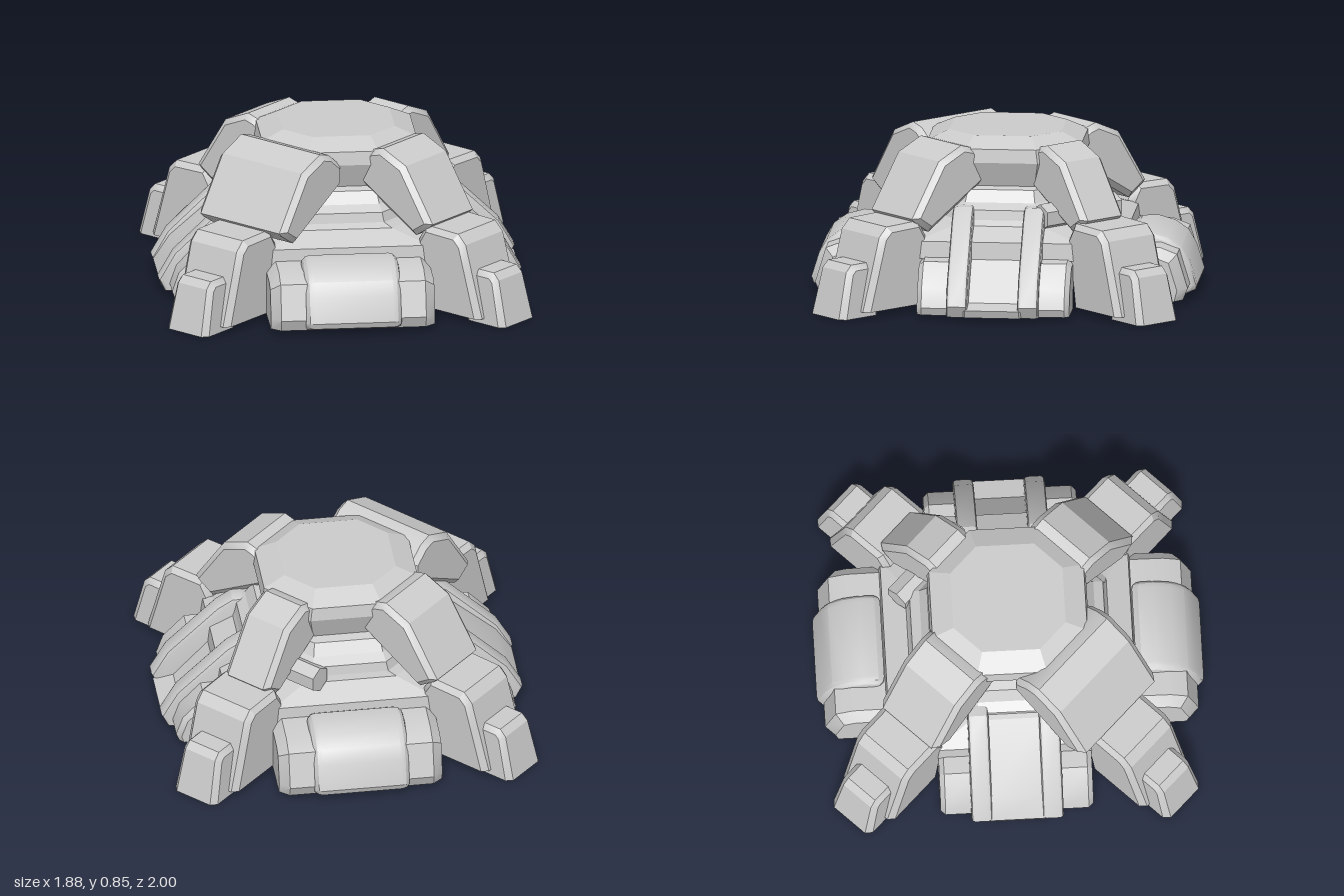
import * as THREE from 'three';
import { toCreasedNormals } from 'three/addons/utils/BufferGeometryUtils.js';

const grey = new THREE.MeshStandardMaterial({ color: 0xcccccc, side: THREE.DoubleSide });
const faceted = new THREE.MeshStandardMaterial({ color: 0xcccccc, flatShading: true, side: THREE.DoubleSide });

// Bevelled block: a side profile [outward, y] given width, cut off open at the floor.
// It can narrow upwards, and be left open on the side joined to the body.
function block(name, profile, halfWidth, bevel, { taper = 0, segments = 1, floor = 0.02, openBack = false } = {}) {
  const shape = new THREE.Shape(profile.map(([r, y]) => new THREE.Vector2(r, y)));
  const depth = 2 * (halfWidth - bevel);
  const geo = new THREE.ExtrudeGeometry(shape, {
    depth, bevelThickness: bevel, bevelSize: bevel, bevelOffset: -bevel, bevelSegments: segments,
  });
  geo.translate(0, 0, -depth / 2);
  const back = openBack ? Math.min(...profile.map(([r]) => r)) + 0.001 : -Infinity;
  const p = geo.attributes.position;
  const kept = [];
  for (let i = 0; i < p.count; i += 3) {
    if (Math.max(p.getY(i), p.getY(i + 1), p.getY(i + 2)) <= floor) continue;
    if (Math.max(p.getX(i), p.getX(i + 1), p.getX(i + 2)) <= back) continue;
    for (let j = i; j < i + 3; j++) {
      const y = Math.max(p.getY(j), floor);
      kept.push(p.getX(j), y, p.getZ(j) * (1 - taper * y));
    }
  }
  const open = new THREE.BufferGeometry();
  open.setAttribute('position', new THREE.Float32BufferAttribute(kept, 3));
  const mesh = new THREE.Mesh(toCreasedNormals(open, 0.5), grey);
  mesh.name = name;
  return mesh;
}

// Eight-sided shell through rings [half size, half length of the straight side, y]
function octagonShell(name, rings) {
  const pos = [], index = [];
  for (const [a, b, y] of rings) {
    for (const [x, z] of [[a, -b], [a, b], [b, a], [-b, a], [-a, b], [-a, -b], [-b, -a], [b, -a]]) pos.push(x, y, z);
  }
  for (let i = 0; i < rings.length - 1; i++) {
    for (let k = 0; k < 8; k++) {
      const n = (k + 1) % 8, u = i * 8, l = u + 8;
      if (rings[i][0] > 0) index.push(u + k, u + n, l + k);
      index.push(u + n, l + n, l + k);
    }
  }
  const geo = new THREE.BufferGeometry();
  geo.setAttribute('position', new THREE.Float32BufferAttribute(pos, 3));
  geo.setIndex(index);
  geo.computeVertexNormals();
  const mesh = new THREE.Mesh(geo, faceted);
  mesh.name = name;
  return mesh;
}

// Diagonal leg: shoulder armour, shin and foot
function leg(name, shoulderHalfWidth) {
  const g = new THREE.Group();
  g.name = name;
  g.add(
    block('shoulder', [[0.29, 0.63], [0.29, 0.73], [0.38, 0.805], [0.45, 0.825], [0.6, 0.76], [0.78, 0.48], [0.76, 0.46], [0.67, 0.4]],
      shoulderHalfWidth, 0.028),
    block('shin', [[0.735, -0.05], [0.68, 0.38], [0.73, 0.465], [0.94, 0.46], [0.99, 0.41], [1.03, 0.27], [1.1, -0.05]],
      0.178, 0.028, { floor: 0.03 }),
    block('foot', [[0.97, -0.05], [0.97, 0.25], [1.0, 0.275], [1.13, 0.275], [1.165, 0.24], [1.225, -0.05]],
      0.135, 0.028, { taper: 0.5, floor: 0, openBack: true }),
  );
  return g;
}

// Rounded drum housing with a stepped block on either side
function drumHousing(name) {
  const g = new THREE.Group();
  g.name = name;
  g.add(
    block('drum', [[0.65, -0.05], [0.65, 0.32], [0.68, 0.34], [0.76, 0.345], [0.85, 0.32], [0.92, 0.27], [0.96, 0.2], [1, 0.07], [0.99, 0.04], [0.94, -0.05]],
      0.25, 0.045, { segments: 3, openBack: true }),
    block('sideBlocks', [[0.62, -0.05], [0.62, 0.3], [0.82, 0.295], [0.91, 0.26], [0.965, 0.08], [0.94, -0.05]],
      0.425, 0.05, { openBack: true }),
  );
  return g;
}

// Sloping side ramp with two rails and low steps
function ramp(name, flush) {
  const g = new THREE.Group();
  g.name = name;
  const panel = flush
    ? [[0.42, -0.05], [0.42, 0.5], [0.53, 0.48], [0.85, 0.2], [0.935, 0.07], [0.92, -0.05]]
    : [[0.42, -0.05], [0.42, 0.44], [0.5, 0.43], [0.83, 0.08], [0.935, 0.06], [0.92, -0.05]];
  g.add(block('rampPanel', panel, 0.15, 0.01, { openBack: true }));
  for (const s of [-1, 1]) {
    const rail = block('rail', [[0.4, -0.05], [0.4, 0.52], [0.52, 0.52], [0.6, 0.47], [0.86, 0.22], [0.94, 0.08], [0.91, -0.05]],
      0.054, 0.02, { segments: 2, openBack: true });
    rail.position.z = s * 0.184;
    const step = block('sideStep', [[0.6, -0.05], [0.6, 0.28], [0.74, 0.275], [0.85, 0.16], [0.885, 0.06], [0.87, -0.05]],
      0.1, 0.025, { openBack: true });
    step.position.z = s * 0.295;
    g.add(rail, step);
  }
  return g;
}

export function createModel() {
  const model = new THREE.Group();
  model.name = 'bunker';

  // Central body: roof cap, neck, stepped collar and flared skirt, open below
  model.add(octagonShell('body', [
    [0, 0, 0.85], [0.29, 0.15, 0.85], [0.4, 0.18, 0.8], [0.41, 0.19, 0.73], [0.36, 0.17, 0.6],
    [0.41, 0.17, 0.59], [0.45, 0.18, 0.53], [0.5, 0.19, 0.5], [0.51, 0.2, 0.45], [0.52, 0.24, 0.42],
    [0.64, 0.42, 0.36], [0.65, 0.42, 0.27],
  ]));

  // Four legs on the diagonals
  for (const [name, turn, width] of [
    ['frontLeftLeg', -1, 0.19], ['frontRightLeg', -3, 0.29],
    ['backRightLeg', 3, 0.195], ['backLeftLeg', 1, 0.14],
  ]) {
    const part = leg(name, width);
    part.rotation.y = turn * Math.PI / 4;
    model.add(part);
  }

  // Drums front and back, ramps left and right
  const front = drumHousing('frontDrumHousing');
  front.rotation.y = -Math.PI / 2;
  const back = drumHousing('backDrumHousing');
  back.rotation.y = Math.PI / 2;
  const left = ramp('leftRamp', false);
  const right = ramp('rightRamp', true);
  right.rotation.y = Math.PI;
  model.add(front, back, left, right);

  // Hinge axle crossing behind the narrow shoulder
  const axle = new THREE.Mesh(new THREE.CylinderGeometry(0.07, 0.07, 0.5, 6).rotateX(Math.PI / 2), faceted);
  axle.name = 'hingeAxle';
  axle.position.set(0.34, 0.47, -0.39);
  axle.rotation.y = Math.PI / 4;
  model.add(axle);
  return model;
}
